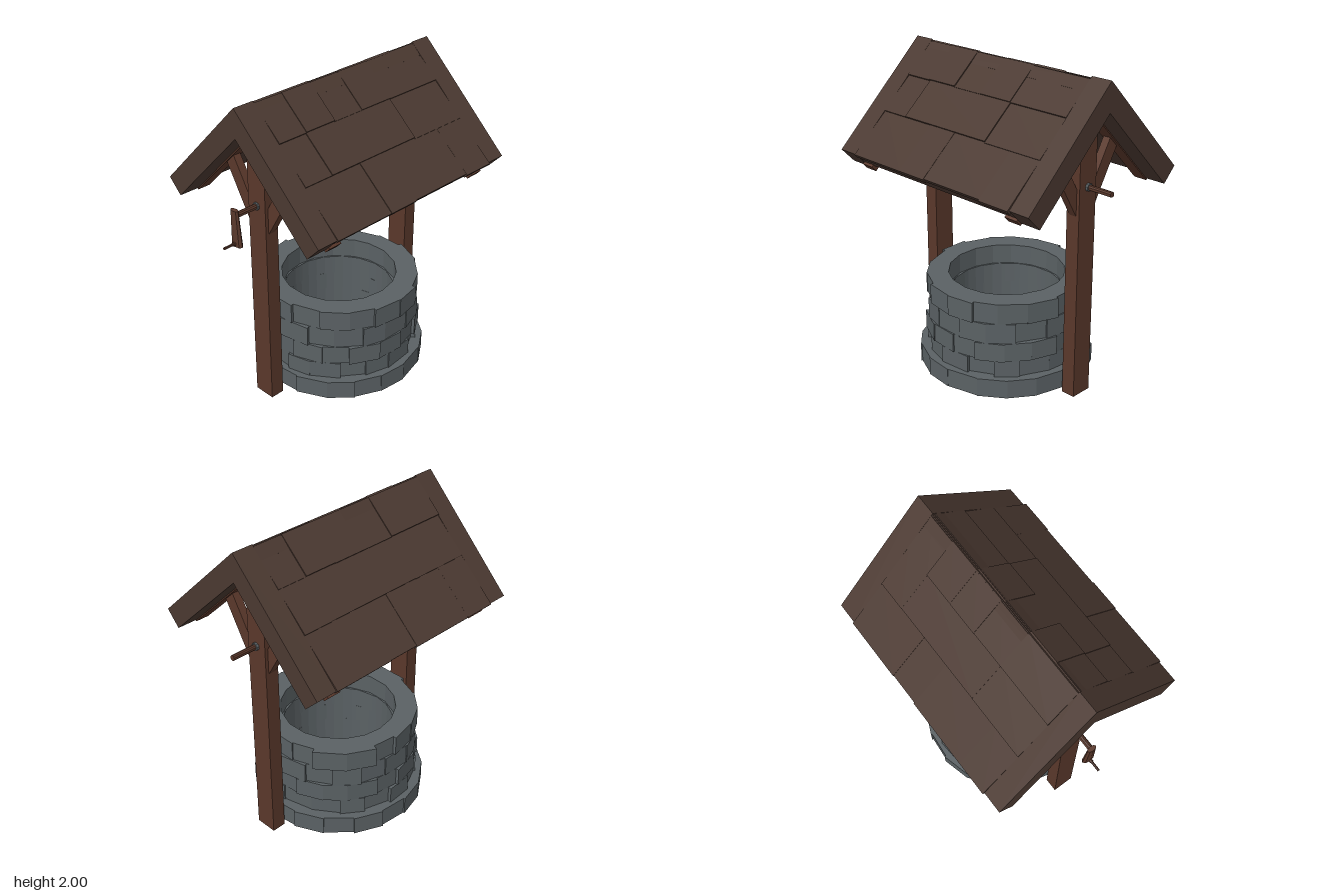
import * as THREE from 'three';

const paint = (color, extra = {}) => new THREE.MeshStandardMaterial({ color, flatShading: true, ...extra });
const roofMat = paint(0x4b3931);
const woodMat = paint(0x5a382b);
const stoneMat = paint(0x5a6164);
const liningMat = paint(0x5a6164, { side: THREE.DoubleSide });

function add(parent, name, geometry, material, x = 0, y = 0, z = 0) {
  const mesh = new THREE.Mesh(geometry, material);
  mesh.name = name;
  mesh.position.set(x, y, z);
  parent.add(mesh);
  return mesh;
}

// Cylinder lying along z
const rod = (r, length, sides = 10) => new THREE.CylinderGeometry(r, r, length, sides).rotateX(Math.PI / 2);

let seed = 11;
function jitter(amount) {
  seed = (seed * 16807) % 2147483647;
  return (seed / 2147483647 - 0.5) * 2 * amount;
}

// One ring of flat-faced wedge stones
function stoneCourse(y0, y1, inner, outer, count, offset, wobble) {
  const course = new THREE.Group();
  course.name = 'stoneCourse';
  const step = (Math.PI * 2) / count;
  const seams = Array.from({ length: count }, (_, i) => offset + i * step + jitter(step * 0.12));
  seams.push(seams[0] + Math.PI * 2);
  for (let i = 0; i < count; i++) {
    const r = outer + jitter(wobble);
    const corner = (radius, a) => new THREE.Vector2(Math.cos(a) * radius, Math.sin(a) * radius);
    const [a, b] = [seams[i], seams[i + 1]];
    const shape = new THREE.Shape([corner(inner, a), corner(r, a), corner(r + jitter(wobble / 3), b), corner(inner, b)]);
    const geometry = new THREE.ExtrudeGeometry(shape, { depth: y1 - y0, bevelEnabled: false }).rotateX(-Math.PI / 2);
    add(course, 'stone', geometry, stoneMat, 0, y0, 0);
  }
  return course;
}

function buildWell() {
  const well = new THREE.Group();
  well.name = 'wellWall';
  well.add(stoneCourse(0.02, 0.14, 0.36, 0.553, 18, 0.1, 0.006));
  well.add(stoneCourse(0.14, 0.25, 0.36, 0.5, 18, 0.25, 0.016));
  well.add(stoneCourse(0.25, 0.37, 0.36, 0.508, 18, 0.05, 0.016));
  well.add(stoneCourse(0.37, 0.5, 0.36, 0.502, 18, 0.2, 0.016));
  well.add(stoneCourse(0.5, 0.63, 0.37, 0.508, 18, 0.0, 0.016));
  add(well, 'lining', new THREE.CylinderGeometry(0.355, 0.355, 0.48, 36, 1, true), liningMat, 0, 0.26, 0);
  add(well, 'floor', new THREE.CylinderGeometry(0.54, 0.54, 0.02, 18), stoneMat, 0, 0.031, 0);
  return well;
}

// Half of the roof: u runs down the slope, v stands out from it
function buildSlope(length) {
  const slope = new THREE.Group();
  slope.name = 'roofSlope';
  const slab = (name, u0, u1, v0, v1, z0, z1, mat) =>
    add(slope, name, new THREE.BoxGeometry(u1 - u0, v1 - v0, z1 - z0), mat, (u0 + u1) / 2, (v0 + v1) / 2, (z0 + z1) / 2);
  slab('deck', 0, length - 0.005, -0.1, -0.018, -0.66, 0.66, roofMat);
  for (const s of [-1, 1]) {
    slab('endBoard', 0, length, -0.13, 0, s * 0.72 - 0.07, s * 0.72 + 0.07, roofMat);
    slab('rafter', 0.04, length + 0.012, -0.137, -0.09, s * 0.61 - 0.045, s * 0.61 + 0.045, woodMat);
  }
  // Overlapping shingle rows: slope range, then cuts along z
  const rows = [
    [0.012, 0.28, [0.65, 0.45, 0.23, 0.01, -0.23, -0.65]],
    [0.26, 0.56, [0.65, 0.45, -0.23, -0.65]],
    [0.54, length + 0.006, [0.65, 0.23, 0.02, -0.43, -0.65]],
  ];
  for (const [u0, u1, cuts] of rows) {
    for (let i = 0; i + 1 < cuts.length; i++) {
      const shingle = slab('shingle', u0, u1 + jitter(0.006), -0.028, 0.002 + jitter(0.004), cuts[i + 1], cuts[i], roofMat);
      shingle.rotation.z = 0.035;
    }
  }
  return slope;
}

function buildRoof() {
  const roof = new THREE.Group();
  roof.name = 'roof';
  const right = buildSlope(0.885), left = buildSlope(0.9);
  right.rotation.set(0, 0, -0.756);
  left.rotation.set(0, Math.PI, -0.792);
  roof.add(right, left);
  roof.position.set(-0.01, 1.997, 0);
  return roof;
}

// Post with a pair of diagonal braces
function buildPost(z) {
  const frame = new THREE.Group();
  frame.name = 'postFrame';
  add(frame, 'post', new THREE.BoxGeometry(0.142, 1.83, 0.092), woodMat, 0, 0.915, 0);
  for (const s of [-1, 1]) {
    const brace = add(frame, 'brace', new THREE.BoxGeometry(0.085, 0.46, 0.05), woodMat, s * 0.15, 1.405, 0);
    brace.rotation.z = -s * 0.53;
  }
  frame.position.set(-0.004, 0, z);
  return frame;
}

function buildWindlass() {
  const windlass = new THREE.Group();
  windlass.name = 'windlass';
  add(windlass, 'axle', rod(0.017, 1.65), woodMat, 0, 0, -0.005);
  add(windlass, 'spool', rod(0.029, 0.19), stoneMat, 0, 0, 0.06);
  for (const z of [-0.66, -0.56, 0.56, 0.66]) add(windlass, 'collar', rod(0.024, 0.02), stoneMat, 0, 0, z);
  // Tapered crank arm with its grip
  const arm = new THREE.CylinderGeometry(0.03, 0.043, 0.235, 8).scale(1, 1, 0.5);
  add(windlass, 'crankArm', arm, woodMat, -0.004, -0.082, 0.815).rotation.x = 0.04;
  add(windlass, 'handle', rod(0.008, 0.11, 8), woodMat, -0.004, -0.18, 0.855);
  add(windlass, 'handleBase', rod(0.012, 0.02, 8), woodMat, -0.004, -0.18, 0.835);
  windlass.position.set(-0.004, 1.355, 0);
  return windlass;
}

export function createModel() {
  const model = new THREE.Group();
  model.name = 'wishingWell';
  const body = new THREE.Group();
  body.name = 'wellBody';
  const well = buildWell();
  well.position.set(-0.006, 0, -0.01);
  body.add(well, buildRoof(), buildPost(0.613), buildPost(-0.607), buildWindlass());
  // Slightly skewed stance
  body.rotation.y = -0.015;
  body.position.set(-0.003, 0, -0.04);
  model.add(body);
  return model;
}
